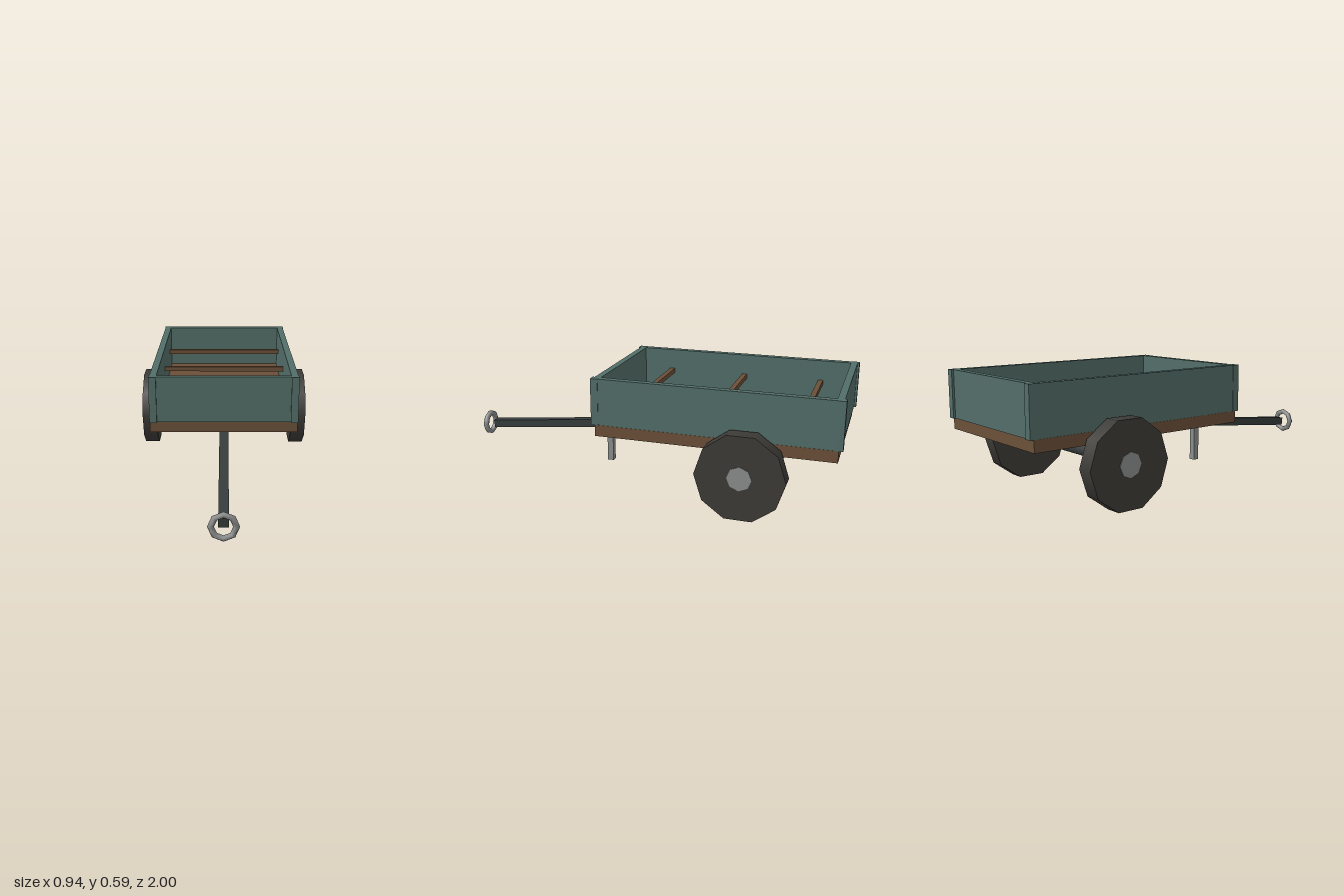
import * as THREE from 'three';

const mat = (color) => new THREE.MeshStandardMaterial({ color });

export function createModel() {
  const group = new THREE.Group();
  const paint = mat(0x526d68), wood = mat(0x6b5038), rubber = mat(0x3d3b37);
  const iron = mat(0x363d3c), steel = mat(0x8a8e8c);

  const add = (name, geometry, material, x, y, z) => {
    const mesh = new THREE.Mesh(geometry, material);
    mesh.name = name;
    mesh.position.set(x, y, z);
    group.add(mesh);
    return mesh;
  };
  const box = (name, material, w, h, d, x, y, z) =>
    add(name, new THREE.BoxGeometry(w, h, d), material, x, y, z);
  // cylinder lying along x
  const roller = (name, material, r, length, sides, x, y, z) =>
    add(name, new THREE.CylinderGeometry(r, r, length, sides).rotateZ(Math.PI / 2), material, x, y, z);

  // cargo bed: floor, walls and corner posts
  const midZ = -0.396, wallY = 0.475, wallH = 0.234;
  box('floor', wood, 0.742, 0.057, 1.17, 0, 0.3305, midZ);
  for (const s of [-1, 1]) {
    box('sideWall', paint, 0.035, wallH, 1.18, s * 0.352, wallY, midZ);
    box('endWall', paint, 0.68, wallH, 0.033, 0, wallY, midZ + s * 0.577);
    for (const e of [-1, 1])
      box('cornerPost', paint, 0.037, wallH, 0.037, s * 0.3535, wallY, midZ + e * 0.5855);
  }

  // raised cross bars between the side walls
  for (const z of [-0.808, -0.401, 0.007])
    box('crossBar', wood, 0.675, 0.025, 0.026, 0, 0.475, z);

  // axle, wheels and hubs
  const axleZ = -0.555;
  roller('axle', iron, 0.031, 0.78, 8, 0, 0.2175, axleZ);
  for (const s of [-1, 1]) {
    roller('wheel', rubber, 0.216, 0.081, 10, s * 0.425, 0.2065, axleZ);
    roller('hub', steel, 0.059, 0.088, 8, s * 0.424, 0.2075, axleZ);
  }

  // sloping drawbar with a hitch ring and a prop stand
  const tilt = Math.atan2(0.091, 0.852);
  const bar = box('drawbar', iron, 0.045, 0.043, 0.858, 0, 0.219, 0.525);
  bar.rotation.x = tilt;
  add('hitchRing', new THREE.TorusGeometry(0.054, 0.0145, 6, 8), steel, 0, 0.174, 0.986);
  box('propStand', steel, 0.034, 0.205, 0.032, 0, 0.1405, 0.25);

  return group;
}
